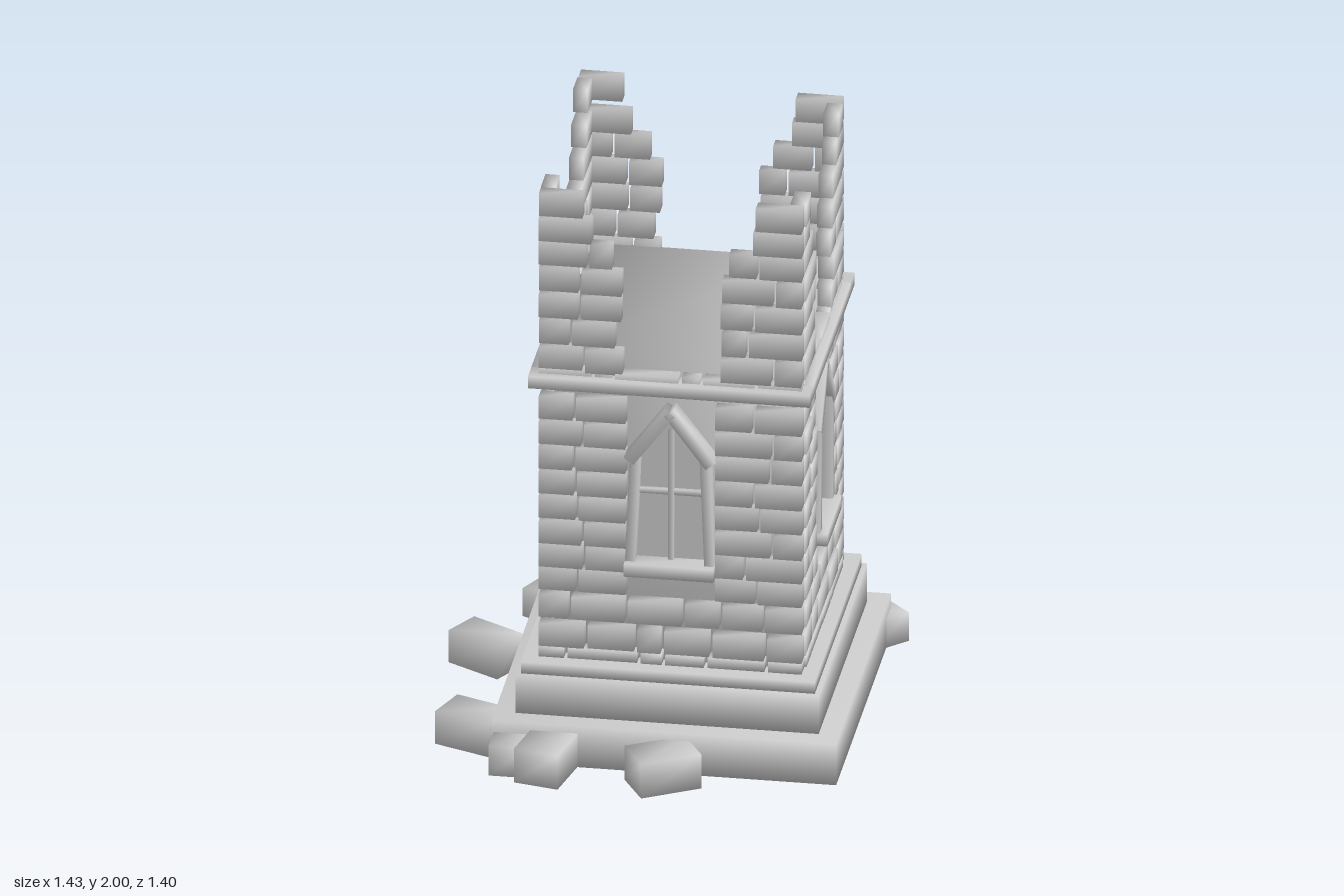
import * as THREE from 'three';
import { mergeVertices, mergeGeometries } from 'three/addons/utils/BufferGeometryUtils.js';

const material = new THREE.MeshStandardMaterial({ color: 0xcccccc });

// Seeded random numbers for the masonry
let seed = 7;
const rand = () => (seed = (seed * 16807) % 2147483647) / 2147483647;

// Box with shared corners, so the shading runs smoothly round its edges
function softBox(w, h, d, x = 0, y = 0, z = 0, tilt = 0) {
  const box = new THREE.BoxGeometry(w, h, d);
  box.deleteAttribute('uv');
  box.deleteAttribute('normal');
  const g = mergeVertices(box);
  g.computeVertexNormals();
  return g.rotateZ(tilt).translate(x, y, z);
}

function add(parent, name, geometry) {
  const mesh = new THREE.Mesh(geometry, material);
  mesh.name = name;
  parent.add(mesh);
  return mesh;
}

// Heights of the brick courses; those above the cornice form the broken corners
const wallRows = [0.34, 0.4, 0.503, 0.6, 0.683, 0.765, 0.857, 0.943, 1.033, 1.12, 1.21, 1.325];
const cornerRows = [1.385, 1.478, 1.573, 1.666, 1.76, 1.845, 1.932];

// Fill one stretch of a course with bricks of uneven length
function layBricks(list, from, to, y, h) {
  const count = Math.max(1, Math.round((to - from) / 0.15));
  const cuts = [from];
  for (let i = 1; i < count; i++) {
    cuts.push(from + ((to - from) * (i + (rand() - 0.5) * 0.7)) / count);
  }
  cuts.push(to);
  for (let i = 0; i < count; i++) {
    const w = cuts[i + 1] - cuts[i] - 0.012;
    const d = 0.045 + rand() * 0.008;
    list.push(softBox(w, h, d, (cuts[i] + cuts[i + 1]) / 2, y, 0.382 + d / 2));
  }
}

function brickWall(half, tallCorner) {
  const bricks = [];
  wallRows.forEach((y, i) => {
    const h = i === 0 ? 0.035 : i === 11 ? 0.05 : 0.078;
    if (i >= 3 && i <= 10) {
      // Leave the window bay open
      layBricks(bricks, -half, -0.14, y, h);
      layBricks(bricks, 0.14, half, y, h);
    } else {
      layBricks(bricks, -half, half, y, h);
    }
  });
  cornerRows.forEach((y, i) => {
    for (const side of [-1, 1]) {
      const inner = [0.14, 0.16, 0.14, 0.15, 0.18, 0.25, 0.27][i] + rand() * 0.02;
      const lift = i === 6 && side === tallCorner ? 0.028 : 0;
      layBricks(bricks, side < 0 ? -half : inner, side < 0 ? -inner : half, y + lift, 0.08);
    }
  });
  return mergeGeometries(bricks);
}

// Pointed window with posts, gable, glazing bars and sill
function makeWindow() {
  const group = new THREE.Group();
  group.name = 'window';
  const lancet = new THREE.Shape();
  lancet.moveTo(-0.115, 0.69);
  lancet.lineTo(0.115, 0.69);
  lancet.lineTo(0.11, 1.0);
  lancet.quadraticCurveTo(0.09, 1.12, 0, 1.2);
  lancet.quadraticCurveTo(-0.09, 1.12, -0.11, 1.0);
  add(group, 'windowPane', new THREE.ExtrudeGeometry(lancet, { depth: 0.012, bevelEnabled: false }))
    .position.z = 0.383;
  add(group, 'verticalBar', softBox(0.018, 0.46, 0.02, 0, 0.92, 0.402));
  add(group, 'crossBar', softBox(0.21, 0.018, 0.02, 0, 0.93, 0.4));
  for (const s of [-1, 1]) {
    add(group, 'windowPost', softBox(0.032, 0.39, 0.06, s * 0.121, 0.88, 0.412, s * 0.04));
    add(group, 'windowGable', softBox(0.225, 0.04, 0.064, s * 0.066, 1.137, 0.413, -s * 0.93));
  }
  add(group, 'windowSill', softBox(0.29, 0.045, 0.085, 0, 0.667, 0.423));
  return group;
}

export function createModel() {
  const model = new THREE.Group();
  model.name = 'ruinedTower';
  const tower = new THREE.Group();
  tower.name = 'tower';
  tower.position.set(0.09, 0, -0.06);
  model.add(tower);

  // Stepped plinth and solid core
  const steps = [[1.12, 0, 0.145], [0.985, 0.145, 0.28], [0.955, 0.28, 0.32], [0.77, 0.32, 1.41]];
  steps.forEach(([w, y0, y1], i) =>
    add(tower, i < 3 ? 'plinthStep' : 'towerCore', softBox(w, y1 - y0, w, 0, (y0 + y1) / 2, 0)));

  // Four sides: bricks, window and cornice bar
  for (let i = 0; i < 4; i++) {
    const side = new THREE.Group();
    side.name = 'towerSide';
    side.rotation.y = (i * Math.PI) / 2;
    const long = i % 2 === 0;
    add(side, 'brickWall', brickWall(long ? 0.433 : 0.38, i === 2 ? 1 : i === 3 ? -1 : 0));
    add(side, 'cornice', softBox(long ? 0.915 : 0.77, 0.042, 0.075, 0, 1.31, 0.42));
    side.add(makeWindow());
    tower.add(side);
  }

  // Fallen blocks round the foot: x, z, width, depth, height, turn in degrees
  const rubble = [
    [0.607, -0.593, 0.165, 0.14, 0.1, -46],
    [-0.43, -0.58, 0.18, 0.125, 0.1, -27],
    [-0.6, -0.2, 0.2, 0.13, 0.115, -30],
    [-0.55, 0.37, 0.2, 0.145, 0.115, -21],
    [-0.4, 0.53, 0.125, 0.15, 0.105, 0],
    [-0.28, 0.56, 0.15, 0.2, 0.12, -12],
    [0.1, 0.578, 0.208, 0.15, 0.12, 30],
  ];
  for (const [x, z, w, d, h, turn] of rubble) {
    const block = add(model, 'fallenBlock', softBox(w, h, d, 0, h / 2, 0));
    block.position.set(x, 0, z);
    block.rotation.y = THREE.MathUtils.degToRad(turn);
  }
  return model;
}
